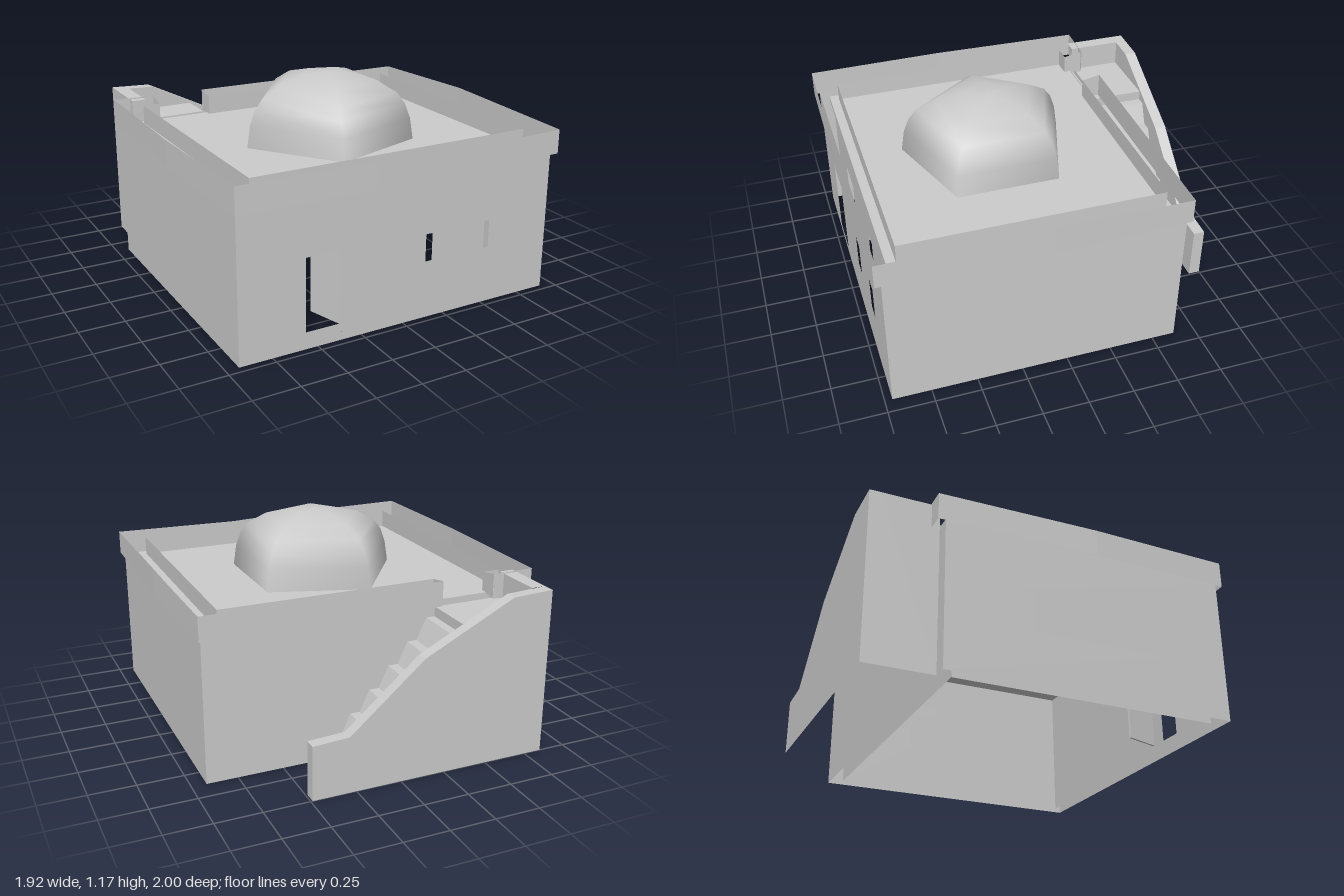
import * as THREE from 'three';

const OUT = { x0: -0.93, x1: 0.92, z0: -0.63, z1: 0.96 };   // wall footprint
const T = 0.07, WALL_H = 0.8, ROOF_Y = 0.8, BAND_Y = 0.785;

const grey = new THREE.MeshStandardMaterial({ color: 0xcccccc });
const thin = new THREE.MeshStandardMaterial({ color: 0xcccccc, side: THREE.DoubleSide });

function add(parent, name, geo, mat = grey) {
  const mesh = new THREE.Mesh(geo, mat);
  mesh.name = name;
  parent.add(mesh);
  return mesh;
}

const poly = pts => new THREE.Shape(pts.map(p => new THREE.Vector2(p[0], p[1])));
const rect = (a, b, c, d) => poly([[a, c], [b, c], [b, d], [a, d]]);

// Flat-shaded band of quads between two matching lists of points
function strip(lower, upper) {
  const pos = [];
  for (let i = 0; i + 1 < lower.length; i++) {
    const [a, b, c, d] = [lower[i], lower[i + 1], upper[i + 1], upper[i]];
    pos.push(...a, ...b, ...c, ...a, ...c, ...d);
  }
  const geo = new THREE.BufferGeometry();
  geo.setAttribute('position', new THREE.Float32BufferAttribute(pos, 3));
  geo.computeVertexNormals();
  return geo;
}

// Profile in x and y swept between two depths
const sweep = (pts, z0, z1) => strip(pts.map(p => [p[0], p[1], z0]), pts.map(p => [p[0], p[1], z1]));

// Upright sheet over a path of [x, z, top]
const curtain = (pts, y) => strip(pts.map(p => [p[0], y, p[1]]), pts.map(p => [p[0], p[2], p[1]]));

// Four sides: turn about y, then local extent and distance of the wall face.
// Openings are [u0, u1, y0, y1, margin added on the outer sheet]; panes close some.
const SIDES = [
  { name: 'frontWall', turn: 0, span: [OUT.x0, OUT.x1, OUT.z1], panes: false,
    openings: [[-0.555, -0.34, 0.05, 0.48, 0.012], [0.13, 0.22, 0.28, 0.47, 0], [0.5, 0.59, 0.28, 0.47, 0]] },
  { name: 'leftWall', turn: Math.PI / 2, span: [-OUT.z1, -OUT.z0, OUT.x1], panes: true,
    openings: [[-0.06, 0.14, 0.29, 0.53, 0]] },
  { name: 'backWall', turn: Math.PI, span: [-OUT.x1, -OUT.x0, -OUT.z0], panes: false, openings: [] },
  { name: 'rightWall', turn: -Math.PI / 2, span: [OUT.z0, OUT.z1, -OUT.x0], panes: true,
    openings: [[-0.24, -0.15, 0.29, 0.49, 0], [0.53, 0.62, 0.29, 0.49, 0]] },
];

function buildSide({ name, turn, span: [a, b, d], panes, openings }) {
  const side = new THREE.Group();
  side.name = name;
  side.rotation.y = turn;
  const sheet = (inset, grow) => {
    const s = rect(a + inset, b - inset, 0, WALL_H);
    for (const [u0, u1, y0, y1, m] of openings) {
      const g = m * grow;
      s.holes.push(rect(u0 - g, u1 + g, y0 - g / 2, y1 + g));
    }
    return new THREE.ShapeGeometry(s).translate(0, 0, d - inset);
  };
  add(side, 'outerFace', sheet(0, 1), thin);
  add(side, 'innerFace', sheet(T, 0), thin);
  if (panes) {
    for (const [u0, u1, y0, y1] of openings) {
      const pane = new THREE.PlaneGeometry(u1 - u0, y1 - y0);
      add(side, 'windowPane', pane.translate((u0 + u1) / 2, (y0 + y1) / 2, d - 0.01), thin);
    }
  }
  return side;
}

function buildParapet() {
  const parapet = new THREE.Group();
  parapet.name = 'parapet';
  // Slightly bowed outer sheet, open at the head of the stairs
  const outer = [[-0.4, -0.667, 0.925], [0.935, -0.655, 0.92], [0.955, 0.1, 0.94],
    [0.94, 0.995, 0.918], [0.2, 1, 0.905], [-0.2, 1, 0.92], [-0.945, 0.99, 0.93],
    [-0.963, 0.2, 0.93], [-0.945, -0.675, 0.93], [-0.71, -0.672, 0.925]];
  add(parapet, 'outerSheet', curtain(outer, BAND_Y), thin);
  // Low inner sheet standing on the roof
  const inner = [[-0.4, -0.56], [0.81, -0.56], [0.81, 0.86], [-0.81, 0.86], [-0.81, -0.56], [-0.71, -0.56]];
  add(parapet, 'innerSheet', curtain(inner.map(p => [...p, 0.905]), ROOF_Y), thin);
  // Cheeks on both sides of the opening
  for (const x of [-0.4, -0.71]) {
    add(parapet, 'gateCheek', curtain([[x, -0.667, 0.925], [x, -0.56, 0.905]], BAND_Y), thin);
  }
  return parapet;
}

function buildStairs() {
  const stairs = new THREE.Group();
  stairs.name = 'stairs';
  // Flight with leaning risers, climbing toward -x to a landing
  const steps = [[0.28, 0]];
  for (let i = 0; i < 6; i++) {
    const x = 0.28 - i * 0.11, y = 0.12 * (i + 1);
    steps.push([x - 0.055, y], [i < 5 ? x - 0.11 : -0.375, y]);
  }
  steps.push([-0.375, 0.775], [-0.77, 0.775]);
  add(stairs, 'steps', sweep(steps, -0.935, -0.62));

  // Outer balustrade with a falling top, open underneath
  const rail = [[0.49, 0], [0.49, 0.3], [0.29, 0.31], [-0.12, 0.66], [-0.62, 0.91], [-0.85, 0.92], [-0.85, 0]];
  add(stairs, 'balustradeEdge', sweep(rail, -1, -0.935));
  const face = new THREE.ShapeGeometry(poly(rail));
  add(stairs, 'balustradeInside', face.clone().translate(0, 0, -0.935));
  const mirrored = new THREE.ShapeGeometry(poly(rail.map(([x, y]) => [-x, y])));
  add(stairs, 'balustradeOutside', mirrored.rotateY(Math.PI).translate(0, 0, -1));

  // Short wall closing the landing
  add(stairs, 'landingWall', sweep([[-0.77, 0], [-0.77, 0.92], [-0.85, 0.92], [-0.85, 0]], -0.935, -0.63));
  return stairs;
}

export function createModel() {
  const model = new THREE.Group();
  model.name = 'domedHouse';
  SIDES.forEach(s => model.add(buildSide(s)));
  model.add(buildParapet(), buildStairs());

  // Roof slab, which is also the ceiling of the room
  const roof = new THREE.BoxGeometry(1.71, 0.03, 1.51);
  add(model, 'roof', roof.translate(-0.005, ROOF_Y - 0.015, 0.155));

  // Five-sided dome
  const profile = [[0.485, 0.79], [0.465, 0.92], [0.435, 1.0], [0.39, 1.06], [0.28, 1.125],
    [0.13, 1.163], [0, 1.172]].map(p => new THREE.Vector2(p[0], p[1]));
  const dome = add(model, 'dome', new THREE.LatheGeometry(profile, 5, -Math.PI / 2));
  dome.position.set(-0.005, 0, 0.157);

  // Door leaf standing open into the room
  const leaf = new THREE.BoxGeometry(0.2, 0.43, 0.012);
  const door = add(model, 'door', leaf.translate(-0.1, 0.265, -0.006));
  door.position.set(-0.34, 0, OUT.z1 - T);
  door.rotation.y = -1.27;
  return model;
}
